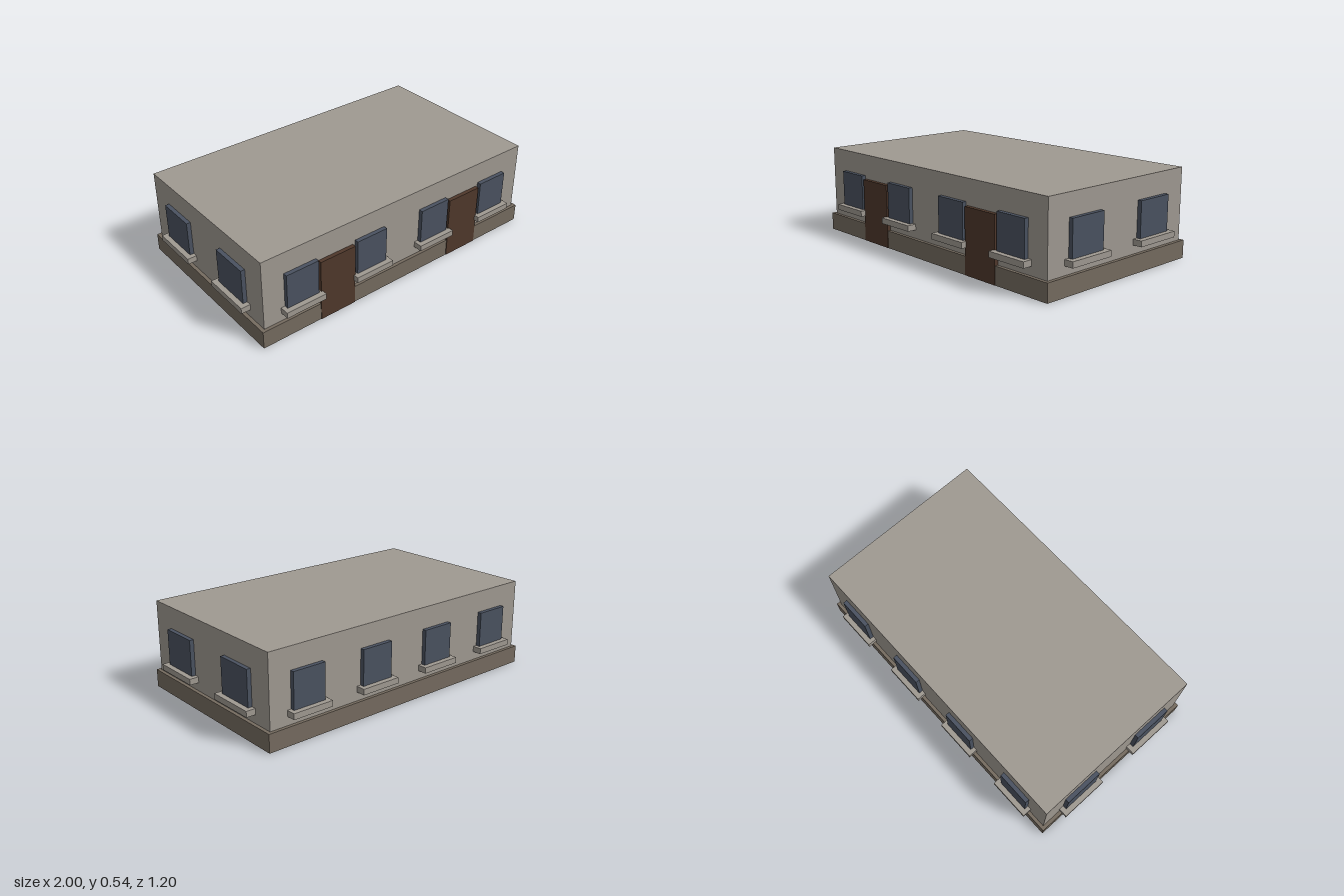
import * as THREE from 'three';

const flat = (name, color) => {
  const m = new THREE.MeshStandardMaterial({ color });
  m.name = name;
  return m;
};

export function createModel() {
  const stone = flat('pale stone', 0x9f9991);
  const plinthStone = flat('dark stone', 0x756b5f);
  const glass = flat('blue glass', 0x4a5260);
  const wood = flat('brown wood', 0x4f382b);

  const building = new THREE.Group();
  building.name = 'building';

  // Box given by its centre in plan, its bottom and top, and its width and depth
  function box(parent, name, material, x, z, y0, y1, w, d) {
    const mesh = new THREE.Mesh(new THREE.BoxGeometry(w, y1 - y0, d), material);
    mesh.name = name;
    mesh.position.set(x, (y0 + y1) / 2, z);
    parent.add(mesh);
  }

  // Main masses
  box(building, 'walls', stone, 0, 0, 0.05, 0.535, 1.888, 1.09);
  box(building, 'plinth', plinthStone, 0, 0, 0, 0.107, 1.93, 1.13);

  // Window with its sill; local z = 0 is the wall face, +z points outward
  function addWindow(side, x, width) {
    const unit = new THREE.Group();
    unit.name = 'window';
    box(unit, 'pane', glass, 0, 0.002, 0.193, 0.405, width, 0.046);
    box(unit, 'sill', stone, 0, 0.018, 0.158, 0.193, width * 1.24, 0.076);
    unit.position.x = x;
    side.add(unit);
  }

  // Four facades: name, turn, distance from centre, window positions and width
  const facades = [
    ['front', 0, 0.545, [-0.706, -0.235, 0.235, 0.706], 0.206],
    ['left', Math.PI / 2, 0.944, [-0.273, 0.273], 0.24],
    ['back', Math.PI, 0.545, [-0.706, -0.235, 0.235, 0.706], 0.206],
    ['right', -Math.PI / 2, 0.944, [-0.273, 0.273], 0.24],
  ];
  for (const [name, turn, distance, xs, width] of facades) {
    const side = new THREE.Group();
    side.name = name + 'Facade';
    side.rotation.y = turn;
    side.position.set(Math.sin(turn) * distance, 0, Math.cos(turn) * distance);
    for (const x of xs) addWindow(side, x, width);
    building.add(side);
  }

  // Two front doors
  for (const x of [-0.471, 0.471]) box(building, 'door', wood, x, 0.547, 0.001, 0.385, 0.234, 0.044);

  return building;
}
